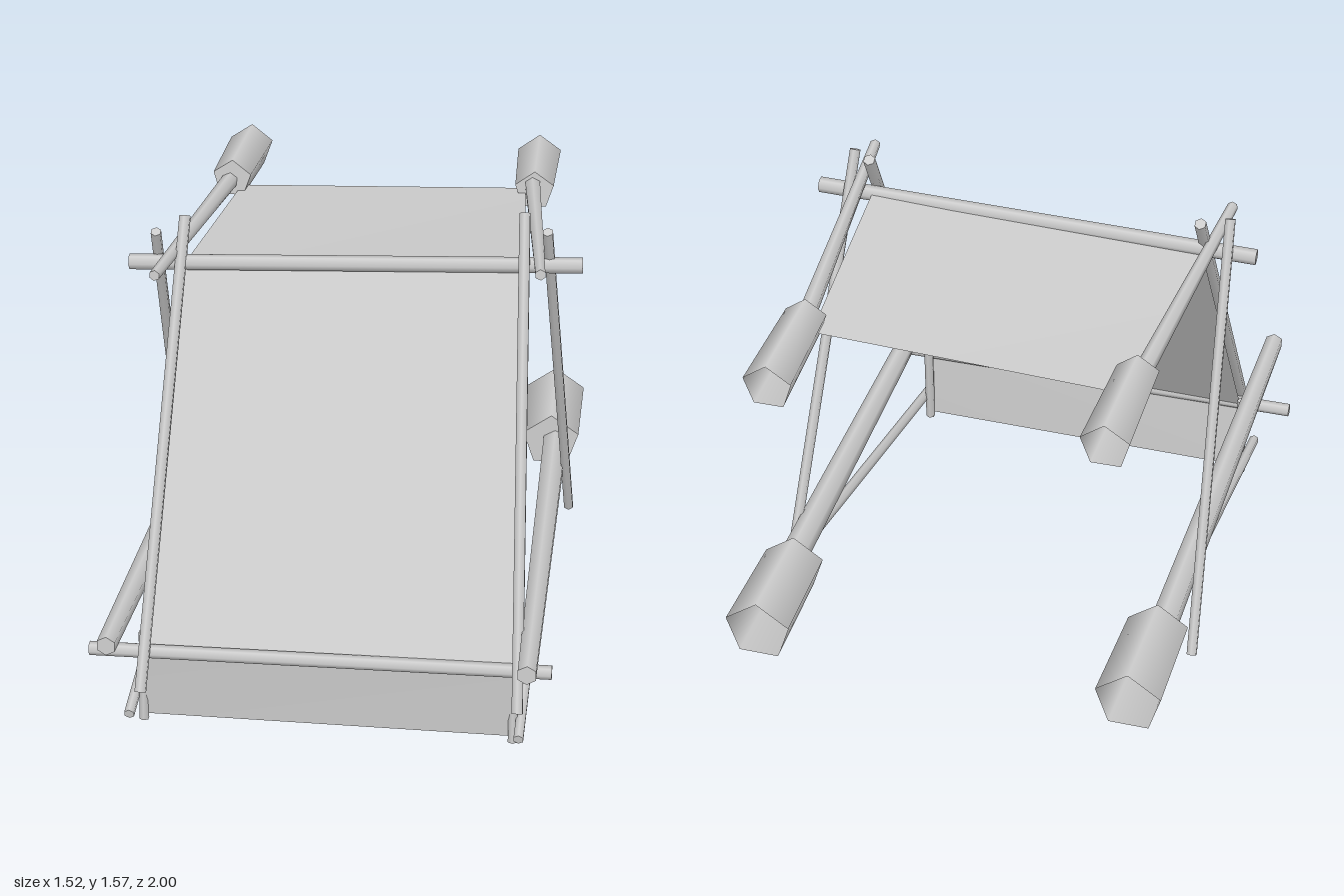
import * as THREE from 'three';

const wood = new THREE.MeshStandardMaterial({ color: 0xcccccc });
const thin = new THREE.MeshStandardMaterial({ color: 0xcccccc, side: THREE.DoubleSide });
const UP = new THREE.Vector3(0, 1, 0);

export function createModel() {
  const group = new THREE.Group();

  // Places a geometry whose axis is y so it runs from point a to point b
  const align = (geometry, material, name, a, b) => {
    const start = new THREE.Vector3(...a), end = new THREE.Vector3(...b);
    const mesh = new THREE.Mesh(geometry, material);
    mesh.name = name;
    mesh.position.copy(start).add(end).multiplyScalar(0.5);
    mesh.quaternion.setFromUnitVectors(UP, end.sub(start).normalize());
    group.add(mesh);
  };
  const length = (a, b) => Math.hypot(b[0] - a[0], b[1] - a[1], b[2] - a[2]);

  // Rough six-sided pole from a (radius ra) to b (radius rb)
  const pole = (name, a, b, ra, rb = ra) =>
    align(new THREE.CylinderGeometry(rb, ra, length(a, b), 6), wood, name, a, b);

  // Five-sided hollow sleeve, closed around the pole and open at the back
  const sleeve = (name, a, b, ra, rb) => {
    const len = length(a, b);
    const profile = [[0, -len / 2], [ra, -len / 2], [ra, -len / 2], [rb, len / 2]];
    const geometry = new THREE.LatheGeometry(profile.map(p => new THREE.Vector2(...p)), 5);
    align(geometry, thin, name, a, b);
  };

  // Four-cornered cloth panel, corners in order around the edge
  const panel = (name, corners) => {
    const geometry = new THREE.BufferGeometry();
    geometry.setAttribute('position', new THREE.Float32BufferAttribute(corners.flat(), 3));
    geometry.setIndex([0, 1, 2, 0, 2, 3]);
    geometry.computeVertexNormals();
    const mesh = new THREE.Mesh(geometry, thin);
    mesh.name = name;
    group.add(mesh);
  };

  // Crossed legs of the two A-frames
  pole('rightFrontLeg', [-0.575, 0.21, 0.89], [-0.55, 1.5, 0.02], 0.02);
  pole('leftFrontLeg', [0.64, 0.23, 0.88], [0.56, 1.57, 0.01], 0.02);
  pole('rightRearLeg', [-0.69, 0.17, -0.51], [-0.63, 1.48, 0.11], 0.018);
  pole('leftRearLeg', [0.73, 0.17, -0.51], [0.64, 1.55, 0.1], 0.018);

  // Crossbars
  pole('topCrossbar', [-0.725, 1.36, 0.095], [0.755, 1.42, 0.06], 0.026);
  pole('lowerCrossbar', [-0.76, 0.295, 0.785], [0.74, 0.318, 0.765], 0.023);

  // Long rails running back into the sleeves
  pole('rightLowerRail', [-0.655, 0.45, 0.99], [-0.61, 0.355, -0.68], 0.033, 0.048);
  pole('leftLowerRail', [0.67, 0.45, 0.98], [0.665, 0.36, -0.68], 0.033, 0.048);
  pole('rightUpperRail', [-0.6, 1.415, 0.3], [-0.515, 1.335, -0.68], 0.018, 0.03);
  pole('leftUpperRail', [0.63, 1.48, 0.27], [0.545, 1.375, -0.68], 0.018, 0.03);
  sleeve('rightLowerSleeve', [-0.6, 0.355, -0.635], [-0.59, 0.35, -1], 0.105, 0.112);
  sleeve('leftLowerSleeve', [0.65, 0.365, -0.635], [0.645, 0.36, -1], 0.105, 0.112);
  sleeve('rightUpperSleeve', [-0.51, 1.345, -0.635], [-0.5, 1.32, -1], 0.07, 0.08);
  sleeve('leftUpperSleeve', [0.555, 1.36, -0.635], [0.55, 1.335, -1], 0.07, 0.08);

  // Short stakes at the skirt and the braces under the lower rails
  pole('rightStake', [-0.597, 0.01, 0.755], [-0.59, 0.34, 0.735], 0.017);
  pole('leftStake', [0.622, 0.03, 0.755], [0.615, 0.35, 0.73], 0.017);
  pole('rightBrace', [-0.625, 0.09, 0.85], [-0.61, 0.325, -0.4], 0.018);
  pole('leftBrace', [0.645, 0.1, 0.84], [0.66, 0.325, -0.4], 0.018);

  // Cloth: sloping front, hanging skirt and flat roof
  const topRight = [-0.55, 1.35, 0.08], topLeft = [0.57, 1.42, 0.06];
  const lowRight = [-0.58, 0.285, 0.775], lowLeft = [0.62, 0.32, 0.765];
  panel('frontCloth', [lowRight, lowLeft, topLeft, topRight]);
  panel('skirtCloth', [[-0.597, 0.03, 0.755], [0.622, 0.05, 0.755], lowLeft, lowRight]);
  panel('roofCloth', [topRight, topLeft, [0.52, 1.345, -0.69], [-0.485, 1.3, -0.69]]);

  return group;
}
